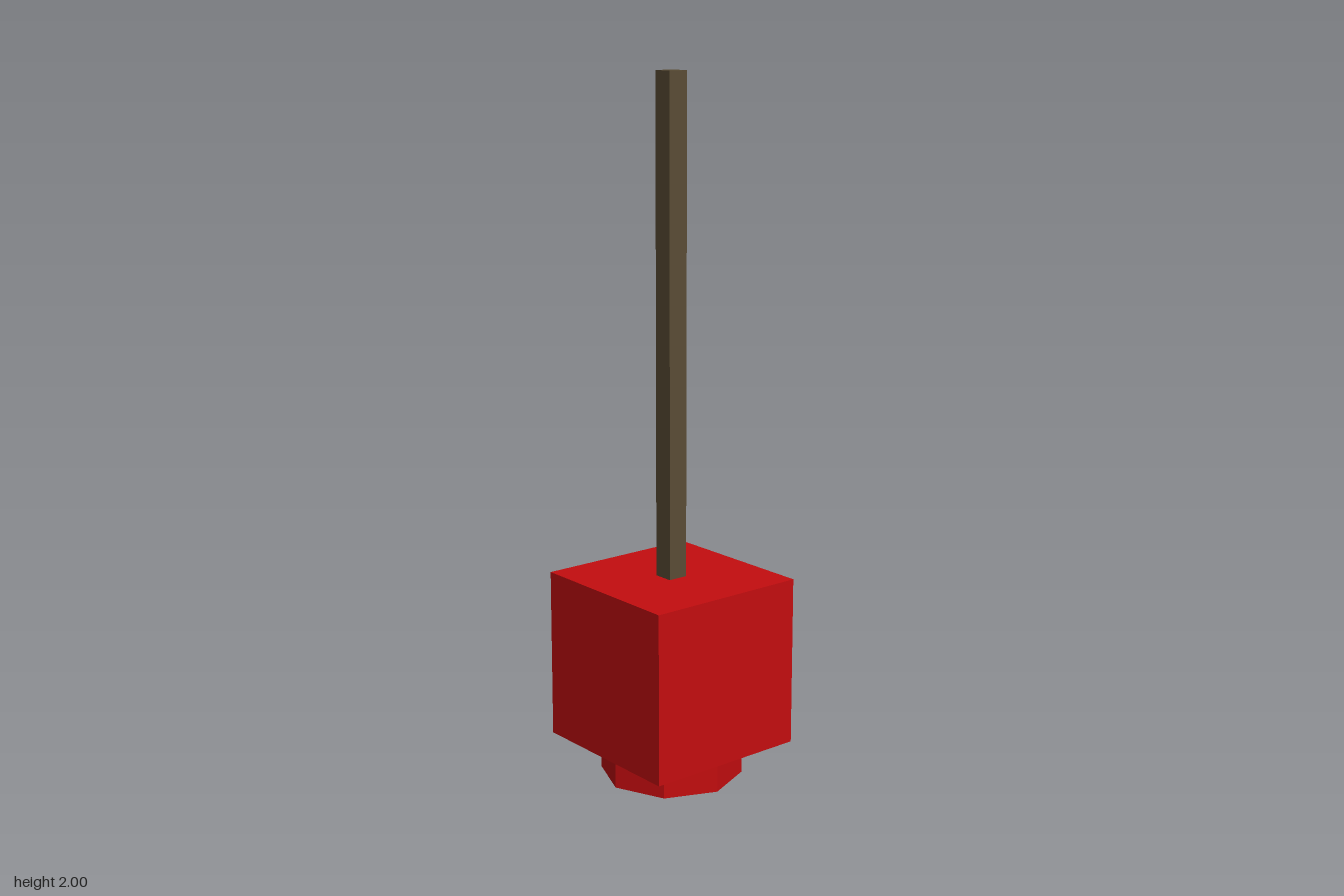
import * as THREE from 'three';

export function createModel() {
  const model = new THREE.Group();
  const red = new THREE.MeshStandardMaterial({ color: 0xc40d0f });
  red.name = 'red';
  const brown = new THREE.MeshStandardMaterial({ color: 0x5a4c35 });
  brown.name = 'dark brown';

  // Adds a part standing on the given height
  const add = (name, geometry, material, bottom, height) => {
    const flat = geometry.toNonIndexed();
    flat.computeVertexNormals();
    const mesh = new THREE.Mesh(flat, material);
    mesh.name = name;
    mesh.position.y = bottom + height / 2;
    model.add(mesh);
  };

  // Eight-sided striking tip, with corners on the axes
  add('tip', new THREE.CylinderGeometry(0.205, 0.205, 0.1, 8), red, 0, 0.1);
  // Cubic head
  add('head', new THREE.BoxGeometry(0.49, 0.49, 0.49), red, 0.1, 0.49);
  // Long square handle
  add('handle', new THREE.BoxGeometry(0.06, 1.41, 0.06), brown, 0.59, 1.41);

  return model;
}
